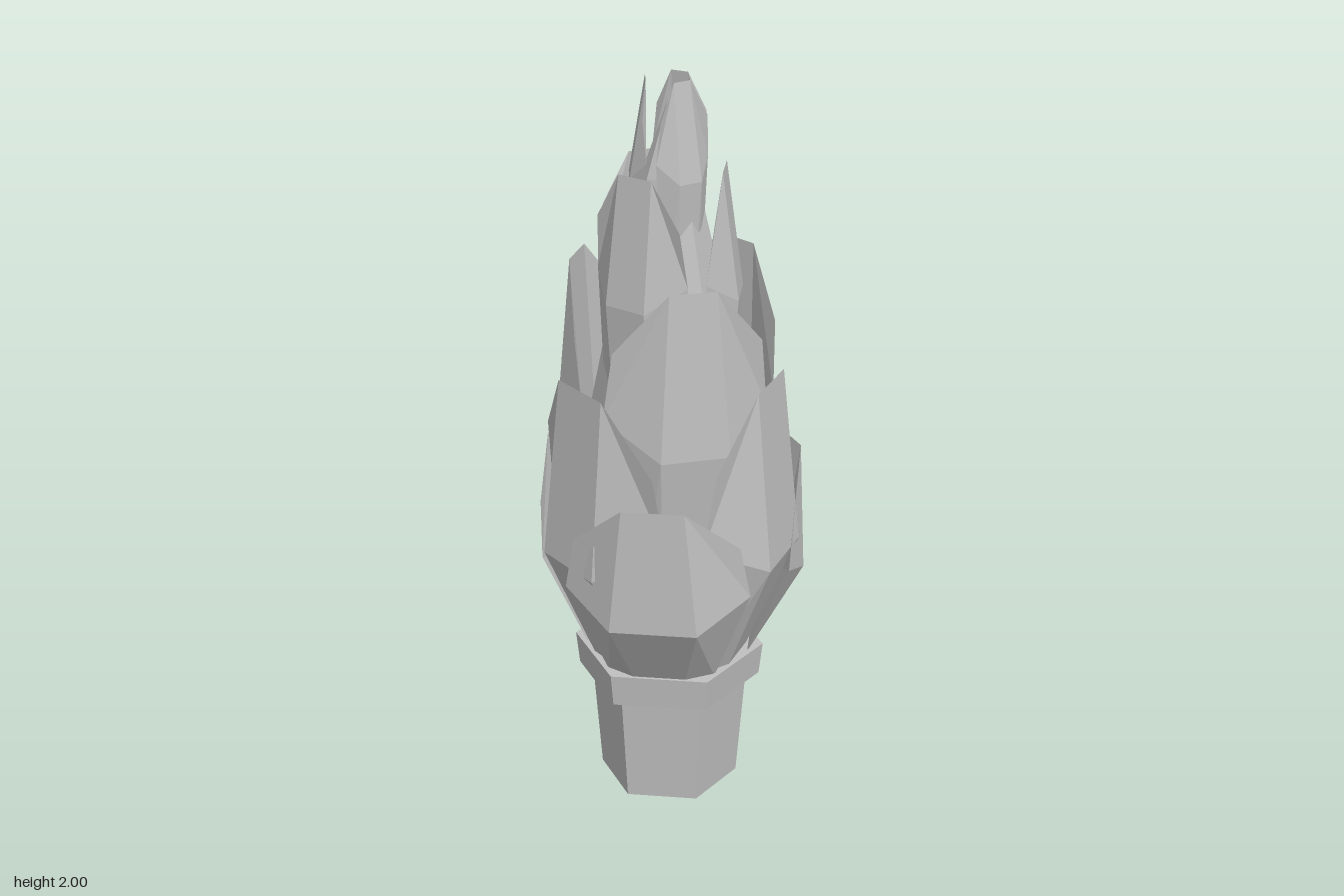
import * as THREE from 'three';

const grey = new THREE.MeshStandardMaterial({ color: 0xbfbfbf, flatShading: true });
grey.name = 'stone grey';

const point = (deg, r, y) => {
  const a = THREE.MathUtils.degToRad(deg);
  return [r * Math.sin(a), y, r * Math.cos(a)];
};

// Three rows of four points: base, belly and tip. The two sheets share a rim.
function petalGeometry({ yBase, yBelly, yTip, rBase, rBelly, rTip, tip, side }) {
  const h = yTip - yBelly;
  const rows = (inset) => [
    [-side * 0.9, -18, 18, side * 0.9].map((d) => point(d, rBase, yBase)),
    [
      point(-side, rBelly * 0.93, yBelly + h * 0.2),
      point(-18, rBelly - inset, yBelly),
      point(18, rBelly - inset, yBelly),
      point(side, rBelly * 0.93, yBelly + h * 0.2),
    ],
    [
      point(-side * 0.87, rBelly * 0.93, yBelly + h * 0.63),
      point(-tip, rTip, yTip),
      point(tip, rTip, yTip),
      point(side * 0.87, rBelly * 0.93, yBelly + h * 0.63),
    ],
  ];
  const pos = [];
  const addSheet = (g, flip) => {
    for (let j = 0; j < 2; j++) {
      for (let i = 0; i < 3; i++) {
        const [a, b, c, d] = [g[j][i], g[j][i + 1], g[j + 1][i + 1], g[j + 1][i]];
        // Mirrored diagonals keep both flanks alike
        const tris = i === 2 ? [a, b, d, b, c, d] : [a, b, c, a, c, d];
        if (flip) tris.reverse();
        tris.forEach((p) => pos.push(...p));
      }
    }
  };
  addSheet(rows(0), false);
  addSheet(rows(rBelly * 0.18), true);
  const geo = new THREE.BufferGeometry();
  geo.setAttribute('position', new THREE.Float32BufferAttribute(pos, 3));
  geo.computeVertexNormals();
  return geo;
}

// Whorls from the bottom up, each of three petals
const whorls = [
  { yBase: 0.4, yBelly: 0.62, yTip: 0.97, rBase: 0.22, rBelly: 0.37, rTip: 0.36, tip: 13, side: 45, turn: 0 },
  { yBase: 0.4, yBelly: 0.74, yTip: 1.23, rBase: 0.21, rBelly: 0.35, rTip: 0.3, tip: 18, side: 52, turn: 74 },
  { yBase: 0.4, yBelly: 1.08, yTip: 1.52, rBase: 0.2, rBelly: 0.295, rTip: 0.255, tip: 14, side: 52, turn: 21 },
  { yBase: 0.95, yBelly: 1.44, yTip: 1.775, rBase: 0.16, rBelly: 0.195, rTip: 0.15, tip: 20, side: 52, turn: 90 },
  { yBase: 1.4, yBelly: 1.75, yTip: 2.0, rBase: 0.08, rBelly: 0.105, rTip: 0.063, tip: 22, side: 52, turn: 40 },
];

export function createModel() {
  const model = new THREE.Group();
  const add = (name, geo, parent = model) => {
    const mesh = new THREE.Mesh(geo, grey);
    mesh.name = name;
    parent.add(mesh);
    return mesh;
  };

  // Hexagonal pot with a corner towards each side
  const hex = (top, bottom, y0, y1) =>
    new THREE.CylinderGeometry(top, bottom, y1 - y0, 6, 1, false, Math.PI / 6).translate(0, (y0 + y1) / 2, 0);
  add('pot', hex(0.215, 0.19, 0, 0.33));
  add('potRim', hex(0.26, 0.25, 0.32, 0.412));

  // Inner core closing the gaps between petals
  const profile = [[0.18, 0.4], [0.26, 0.72], [0.21, 1.1], [0.14, 1.45], [0.07, 1.75], [0, 1.95]];
  add('core', new THREE.LatheGeometry(profile.map(([r, y]) => new THREE.Vector2(r, y)), 8));

  // Overlapping petals
  whorls.forEach((w, i) => {
    const whorl = new THREE.Group();
    whorl.name = `petalWhorl${i + 1}`;
    const geo = petalGeometry(w);
    for (let k = 0; k < 3; k++) {
      add('petal', geo, whorl).rotation.y = THREE.MathUtils.degToRad(w.turn + k * 120);
    }
    model.add(whorl);
  });
  return model;
}
